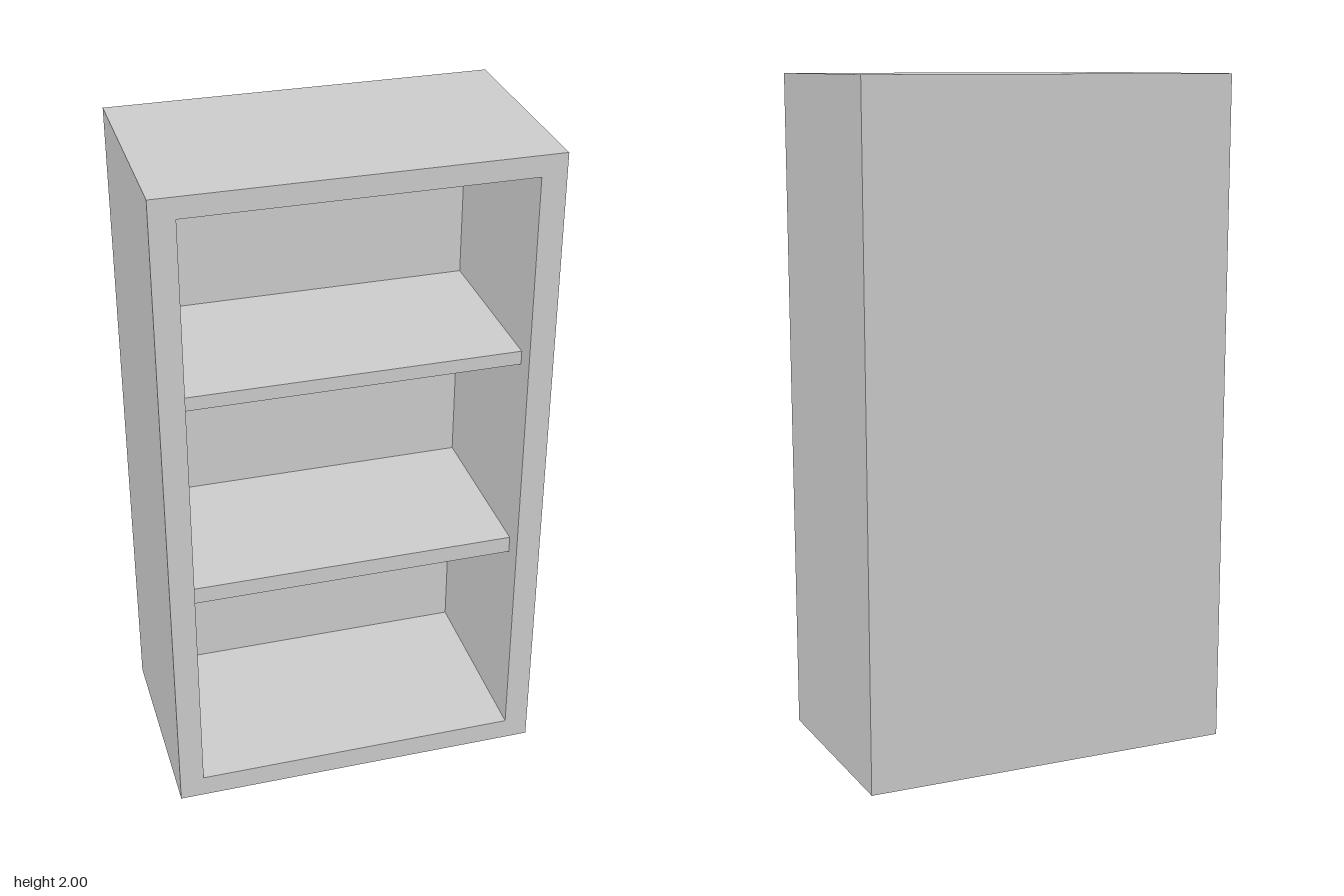
import * as THREE from 'three';

const material = new THREE.MeshStandardMaterial({ color: 0xcccccc, flatShading: true });

// Overall and inner limits of the case
const OUTER = { x: 0.565, y0: 0, y1: 2 };
const INNER = { x: 0.492, y0: 0.067, y1: 1.938 };
const FRONT = 0.325, BACK = -0.325, CAVITY_BACK = -0.268, SHELF_FRONT = 0.265;

// Four corners of a rectangle at depth z, counter-clockwise from the front
function ring({ x, y0, y1 }, z) {
  return [[-x, y0, z], [x, y0, z], [x, y1, z], [-x, y1, z]];
}

// Skin a run of rings into one closed shell with flat caps
function loft(rings) {
  const positions = [];
  const quad = (a, b, c, d) => positions.push(...a, ...b, ...c, ...a, ...c, ...d);
  for (let k = 0; k < rings.length - 1; k++) {
    const from = rings[k], to = rings[k + 1];
    for (let i = 0; i < 4; i++) {
      const j = (i + 1) % 4;
      quad(from[i], from[j], to[j], to[i]);
    }
  }
  quad(...[...rings[0]].reverse());
  quad(...rings[rings.length - 1]);
  const geometry = new THREE.BufferGeometry();
  geometry.setAttribute('position', new THREE.Float32BufferAttribute(positions, 3));
  geometry.computeVertexNormals();
  return geometry;
}

export function createModel() {
  const bookcase = new THREE.Group();
  bookcase.name = 'bookcase';

  // Case: outer walls, front rim, then the hollow interior
  const frame = new THREE.Mesh(
    loft([ring(OUTER, BACK), ring(OUTER, FRONT), ring(INNER, FRONT), ring(INNER, CAVITY_BACK)]),
    material
  );
  frame.name = 'case';
  bookcase.add(frame);

  // Shelves, set back a little from the front rim
  const shelves = [
    { name: 'lowerShelf', bottom: 0.688, top: 0.74 },
    { name: 'upperShelf', bottom: 1.34, top: 1.382 },
  ];
  for (const { name, bottom, top } of shelves) {
    const shelf = new THREE.Mesh(
      new THREE.BoxGeometry(INNER.x * 2, top - bottom, SHELF_FRONT - CAVITY_BACK),
      material
    );
    shelf.position.set(0, (top + bottom) / 2, (SHELF_FRONT + CAVITY_BACK) / 2);
    shelf.name = name;
    bookcase.add(shelf);
  }

  return bookcase;
}
